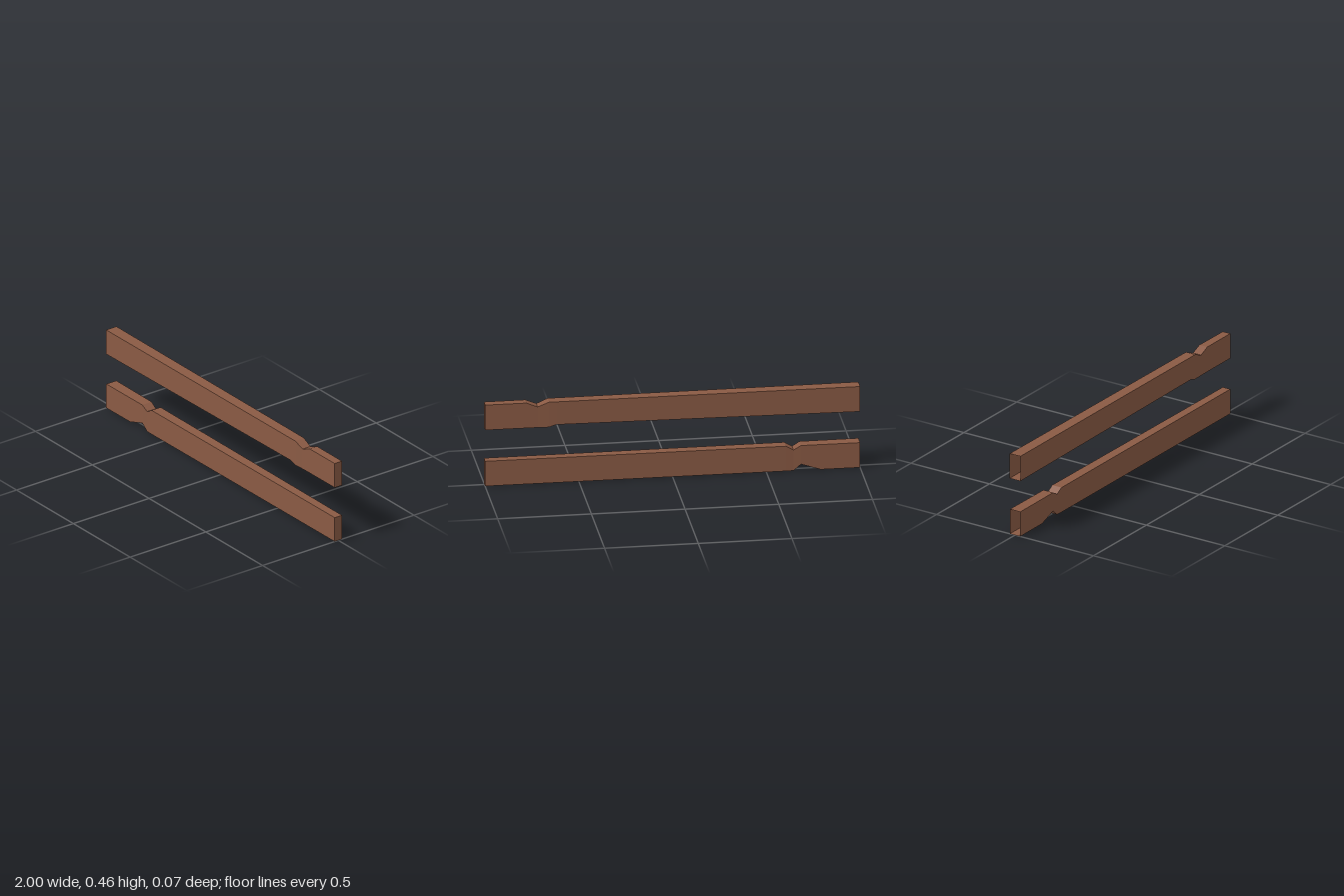
import * as THREE from 'three';

// Lofts a plank along x from stations [x, bottom, top, halfWidth]; the -x end is open.
function plankGeometry(stations) {
  const pos = [];
  const ring = ([x, b, t, w]) => [[x, b, w], [x, b, -w], [x, t, -w], [x, t, w]];
  const quad = (a, b, c, d) => pos.push(...a, ...b, ...c, ...a, ...c, ...d);
  for (let i = 0; i < stations.length - 1; i++) {
    const p = ring(stations[i]);
    const q = ring(stations[i + 1]);
    for (let k = 0; k < 4; k++) {
      const n = (k + 1) % 4;
      quad(p[k], p[n], q[n], q[k]);
    }
  }
  // End cap on the +x side
  const [a, b, c, d] = ring(stations[stations.length - 1]);
  quad(a, b, c, d);
  const geometry = new THREE.BufferGeometry();
  geometry.setAttribute('position', new THREE.Float32BufferAttribute(pos, 3));
  geometry.computeVertexNormals();
  return geometry;
}

export function createModel() {
  const group = new THREE.Group();
  group.name = 'fenceRails';
  const wood = new THREE.MeshStandardMaterial({ color: 0x8a5a44, side: THREE.DoubleSide });
  wood.name = 'brownWood';

  const rails = {
    // Upper rail: notched near its +x end, underside slightly sloped
    upperRail: [
      [-1, 0.318, 0.46, 0.034],
      [0.62, 0.331, 0.46, 0.03],
      [0.66, 0.318, 0.46, 0.029],
      [0.72, 0.318, 0.435, 0.026],
      [0.78, 0.318, 0.46, 0.025],
      [1, 0.318, 0.46, 0.024],
    ],
    // Lower rail: notched above and below near its -x end
    lowerRail: [
      [-1, 0, 0.141, 0.033],
      [-0.79, 0, 0.141, 0.032],
      [-0.685, 0.035, 0.141, 0.031],
      [-0.645, 0, 0.117, 0.029],
      [-0.605, 0, 0.141, 0.03],
      [1, 0, 0.141, 0.024],
    ],
  };
  for (const [name, stations] of Object.entries(rails)) {
    const rail = new THREE.Mesh(plankGeometry(stations), wood);
    rail.name = name;
    group.add(rail);
  }
  return group;
}
